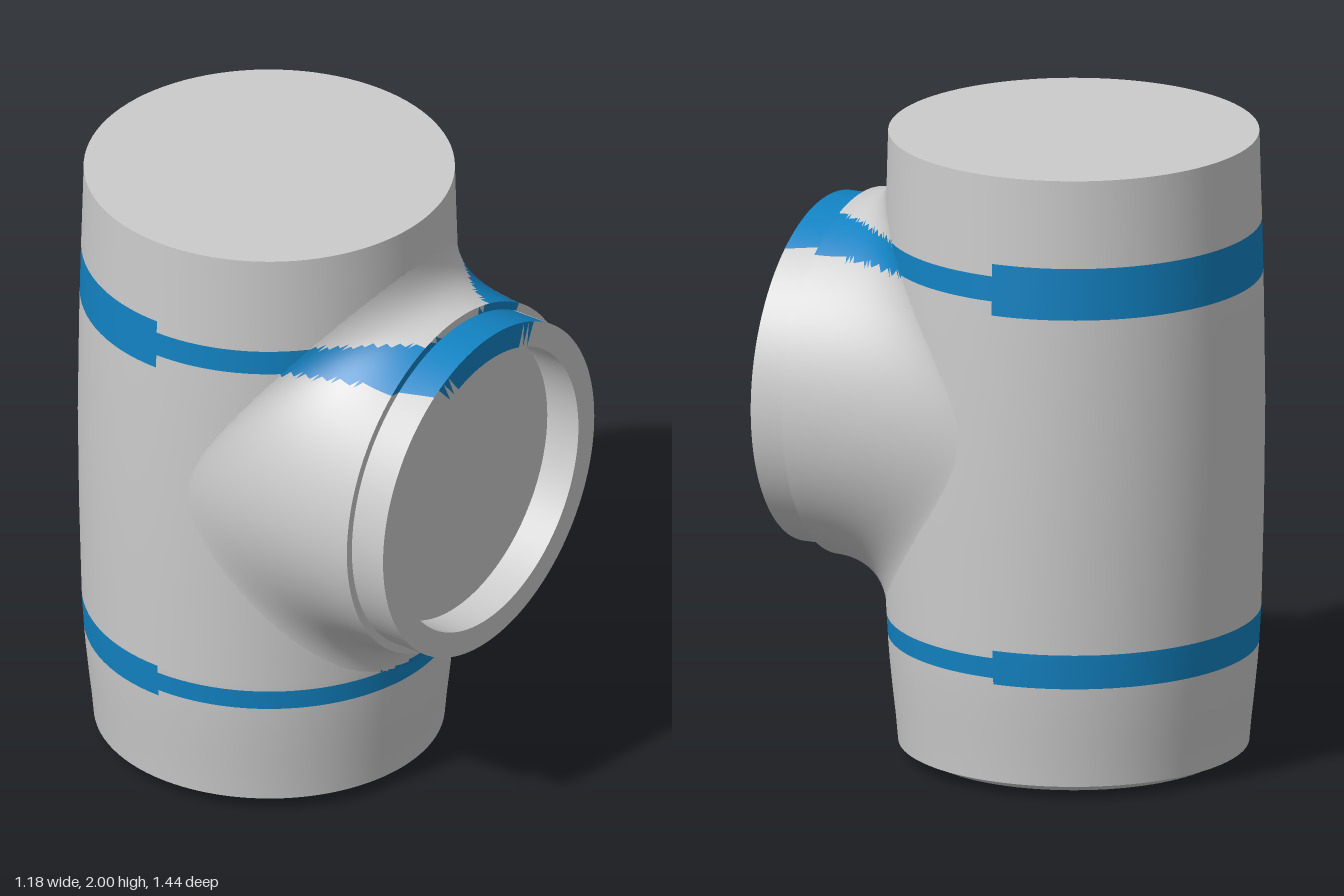
import * as THREE from 'three';

const GREY = new THREE.MeshStandardMaterial({ color: 0xcccccc, side: THREE.DoubleSide });
const BLUE = new THREE.MeshStandardMaterial({ color: 0x1282c2, side: THREE.DoubleSide });
const AXIS_Z = -0.125; // centre line of the upright body
const BRANCH_Y = 1.135; // centre line of the front branch
const COLLAR_R = 0.573;
const COLLAR_Z = 0.6;

// Body wall as radius, height
const WALL = [
  [0.543, 0.042], [0.55, 0.12], [0.559, 0.2], [0.569, 0.3], [0.574, 0.365], [0.575, 0.385], [0.579, 0.45],
  [0.58, 0.475], [0.588, 0.8], [0.592, 1.13], [0.588, 1.45], [0.586, 1.555], [0.585, 1.6],
  [0.583, 1.68], [0.582, 1.72], [0.578, 1.85], [0.574, 2],
];

function wallRadius(y) {
  for (let i = 1; i < WALL.length; i++) {
    const [r0, y0] = WALL[i - 1], [r1, y1] = WALL[i];
    if (y <= y1) return r0 + (r1 - r0) * (y - y0) / (y1 - y0);
  }
  return WALL[WALL.length - 1][0];
}

// Depth of the front of the body wall at x, y
function wallZ(x, y) {
  const r = wallRadius(y);
  return AXIS_Z + Math.sqrt(Math.max(0, r * r - x * x));
}

function lathe(points, segments = 96) {
  return new THREE.LatheGeometry(points.map(([r, y]) => new THREE.Vector2(r, y)), segments);
}

// The two stripes are wider round the back than at the front
function inStripe(p) {
  if (p.z < -0.13) return (p.y > 0.365 && p.y < 0.475) || (p.y > 1.555 && p.y < 1.72);
  return (p.y > 0.385 && p.y < 0.45) || (p.y > 1.598 && p.y < 1.682);
}

// Splits a surface into its grey and its striped triangles, keeping the smooth normals
function addStriped(group, name, geometry) {
  const source = geometry.toNonIndexed();
  const pos = source.attributes.position, nor = source.attributes.normal;
  const parts = [{ p: [], n: [] }, { p: [], n: [] }];
  const centre = new THREE.Vector3(), v = new THREE.Vector3();
  for (let i = 0; i < pos.count; i += 3) {
    centre.set(0, 0, 0);
    for (let k = 0; k < 3; k++) centre.addScaledVector(v.fromBufferAttribute(pos, i + k), 1 / 3);
    const part = parts[inStripe(centre) ? 1 : 0];
    for (let k = i; k < i + 3; k++) {
      part.p.push(pos.getX(k), pos.getY(k), pos.getZ(k));
      part.n.push(nor.getX(k), nor.getY(k), nor.getZ(k));
    }
  }
  parts.forEach(({ p, n }, i) => {
    if (!p.length) return;
    const g = new THREE.BufferGeometry();
    g.setAttribute('position', new THREE.Float32BufferAttribute(p, 3));
    g.setAttribute('normal', new THREE.Float32BufferAttribute(n, 3));
    const mesh = new THREE.Mesh(g, i ? BLUE : GREY);
    mesh.name = i ? name + 'Stripe' : name;
    group.add(mesh);
  });
}

// Branch skin: a curve at every angle, from the collar back onto the body wall
function branchGeometry(around = 128, along = 28) {
  const positions = [], index = [];
  for (let i = 0; i < around; i++) {
    const a = (i / around) * Math.PI * 2, s = Math.sin(a), c = Math.cos(a);
    const x = COLLAR_R * s, y = BRANCH_Y + COLLAR_R * c;
    const endX = 0.58 * s, endY = BRANCH_Y + (COLLAR_R + 0.18) * c;
    const curve = new THREE.QuadraticBezierCurve3(
      new THREE.Vector3(x, y, COLLAR_Z),
      new THREE.Vector3(x, y, wallZ(x, y)),
      new THREE.Vector3(endX, endY, wallZ(endX, endY) - 0.002),
    );
    for (let j = 0; j <= along; j++) positions.push(...curve.getPoint(j / along).toArray());
    const row = i * (along + 1), next = ((i + 1) % around) * (along + 1);
    for (let j = 0; j < along; j++) {
      index.push(row + j, next + j, row + j + 1, next + j, next + j + 1, row + j + 1);
    }
  }
  const g = new THREE.BufferGeometry();
  g.setAttribute('position', new THREE.Float32BufferAttribute(positions, 3));
  g.setIndex(index);
  g.computeVertexNormals();
  return g;
}

export function createModel() {
  const model = new THREE.Group();
  model.name = 'teePipe';

  // Upright body with its flat top
  const body = new THREE.Group();
  body.name = 'body';
  addStriped(body, 'bodyWall', lathe(WALL).translate(0, 0, AXIS_Z));
  const topR = WALL[WALL.length - 1][0];
  addStriped(body, 'topCap', lathe([[topR, 2], [0, 2]]).translate(0, 0, AXIS_Z));

  // Rounded foot with a shallow hollow, and the small ledge above it
  const hollow = [[0, 0.06], [0.2, 0.055], [0.32, 0.038], [0.38, 0.016], [0.4, 0]];
  const foot = [[0.4, 0], [0.44, 0.003], [0.48, 0.013], [0.51, 0.028], [0.525, 0.042]];
  addStriped(body, 'baseHollow', lathe(hollow).translate(0, 0, AXIS_Z));
  addStriped(body, 'baseRim', lathe(foot).translate(0, 0, AXIS_Z));
  addStriped(body, 'baseLedge', lathe([[0.525, 0.042], [0.543, 0.042]]).translate(0, 0, AXIS_Z));
  model.add(body);

  // Front branch flowing out of the body
  const branch = new THREE.Group();
  branch.name = 'branch';
  addStriped(branch, 'branchSkin', branchGeometry());

  // Stepped socket: shoulder, outer wall, rim, inner wall, floor, each with sharp edges
  const socket = [[COLLAR_R, 0.6], [0.547, 0.6], [0.547, 0.72], [0.465, 0.72], [0.465, 0.6], [0, 0.6]];
  const names = ['shoulder', 'socketOuter', 'socketRim', 'socketInner', 'socketFloor'];
  names.forEach((name, i) => {
    const g = lathe([socket[i], socket[i + 1]], 128).rotateX(Math.PI / 2);
    addStriped(branch, name, g.translate(0, BRANCH_Y, 0));
  });
  model.add(branch);
  return model;
}
